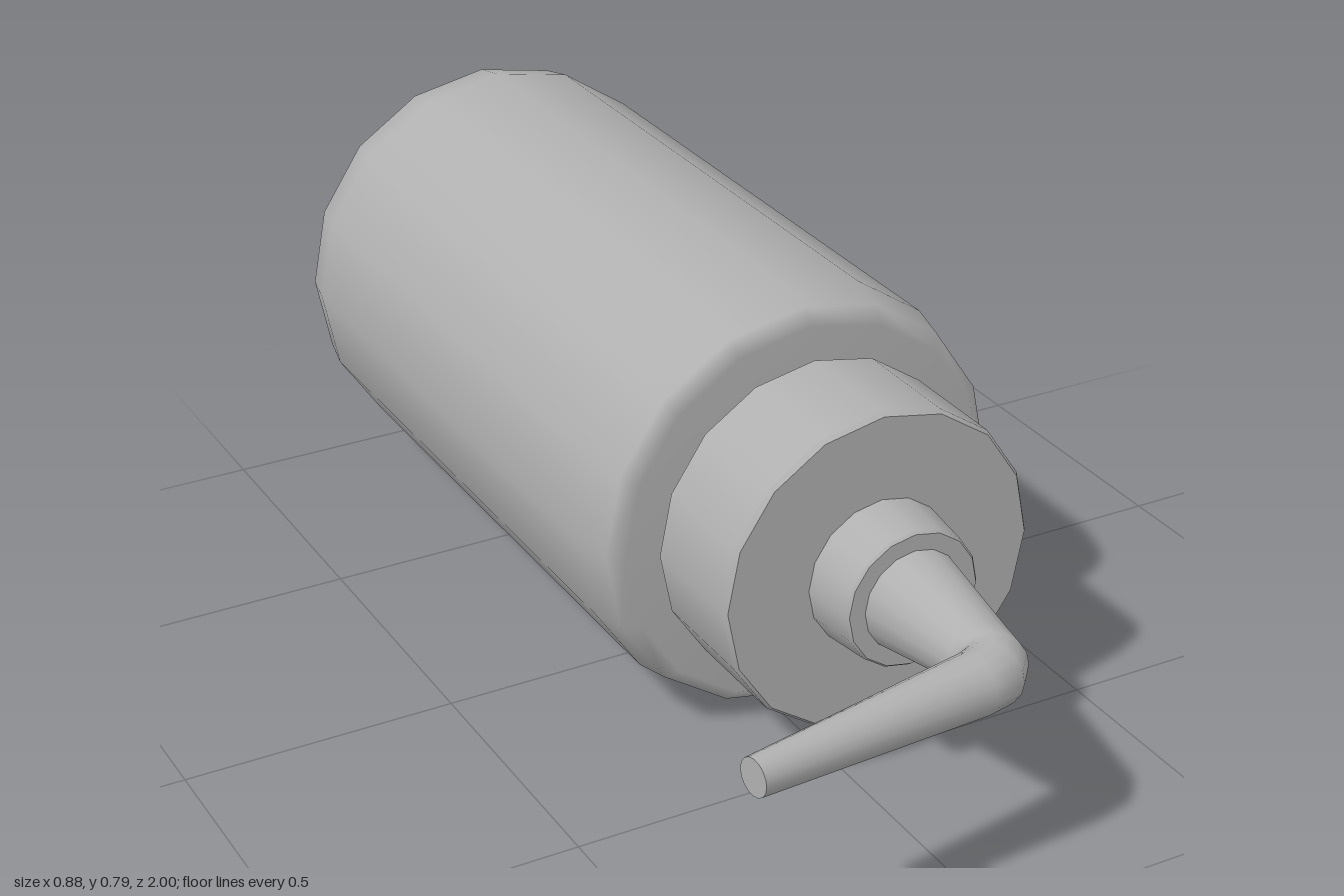
import * as THREE from 'three';

const CX = 0.047, CY = 0.396, SIDES = 16;

const plastic = new THREE.MeshStandardMaterial({ color: 0xb0b0b0 });
plastic.name = 'grey plastic';

// Solid of revolution about the bottle axis; points are [radius, z], back to front
function turned(name, points) {
  const geo = new THREE.LatheGeometry(points.map(([r, z]) => new THREE.Vector2(r, z)), SIDES);
  geo.rotateX(Math.PI / 2);
  geo.translate(CX, CY, 0);
  const mesh = new THREE.Mesh(geo, plastic);
  mesh.name = name;
  return mesh;
}

// Bent taper through round sections [x, z, turn towards -x in degrees, radius]
function bentTube(sections) {
  const pos = [], index = [];
  for (const [x, z, deg, r] of sections) {
    const a = THREE.MathUtils.degToRad(deg);
    for (let i = 0; i < SIDES; i++) {
      const t = (i / SIDES) * Math.PI * 2;
      const u = Math.cos(t) * r;
      pos.push(x + u * Math.cos(a), CY + Math.sin(t) * r, z + u * Math.sin(a));
    }
  }
  for (let s = 0; s < sections.length - 1; s++) {
    for (let i = 0; i < SIDES; i++) {
      const j = (i + 1) % SIDES;
      const a = s * SIDES + i, b = s * SIDES + j;
      index.push(a, b, b + SIDES, a, b + SIDES, a + SIDES);
    }
  }
  const geo = new THREE.BufferGeometry();
  geo.setAttribute('position', new THREE.Float32BufferAttribute(pos, 3));
  geo.setIndex(index);
  geo.computeVertexNormals();
  return geo;
}

export function createModel() {
  const model = new THREE.Group();
  model.name = 'nozzleBottle';

  // Bottle with rounded shoulders
  model.add(turned('bottleBody', [
    [0, -1], [0.352, -1], [0.378, -0.972], [0.393, -0.9],
    [0.393, 0.21], [0.378, 0.282], [0.352, 0.307], [0, 0.307],
  ]));

  // Screw cap with narrow bevelled rims
  model.add(turned('cap', [
    [0, 0.312], [0.287, 0.312], [0.295, 0.32], [0.295, 0.32],
    [0.295, 0.532], [0.295, 0.532], [0.289, 0.541], [0.289, 0.541], [0, 0.541],
  ]));
  // Neck closing the gap between bottle and cap
  model.add(turned('neck', [[0.25, 0.3], [0.25, 0.32]]));

  // Collar around the nozzle base
  model.add(turned('collar', [
    [0.137, 0.535], [0.126, 0.64], [0.126, 0.64], [0.122, 0.645], [0.122, 0.645], [0, 0.645],
  ]));

  // Bent nozzle, tapering to the tip
  const nozzle = new THREE.Group();
  nozzle.name = 'nozzle';
  const tube = new THREE.Mesh(bentTube([
    [CX, 0.64, 0, 0.093],
    [0.05, 0.84, 6, 0.06],
    [0.05, 0.872, 31, 0.058],
    [0.032, 0.897, 58, 0.057],
    [-0.008, 0.909, 79, 0.054],
    [-0.438, 0.967, 83, 0.033],
  ]), plastic);
  tube.name = 'nozzleTube';
  const tip = new THREE.Mesh(new THREE.CircleGeometry(0.033, SIDES), plastic);
  tip.name = 'nozzleTip';
  tip.position.set(-0.438, CY, 0.967);
  tip.rotation.y = THREE.MathUtils.degToRad(-83);
  nozzle.add(tube, tip);
  model.add(nozzle);

  return model;
}
